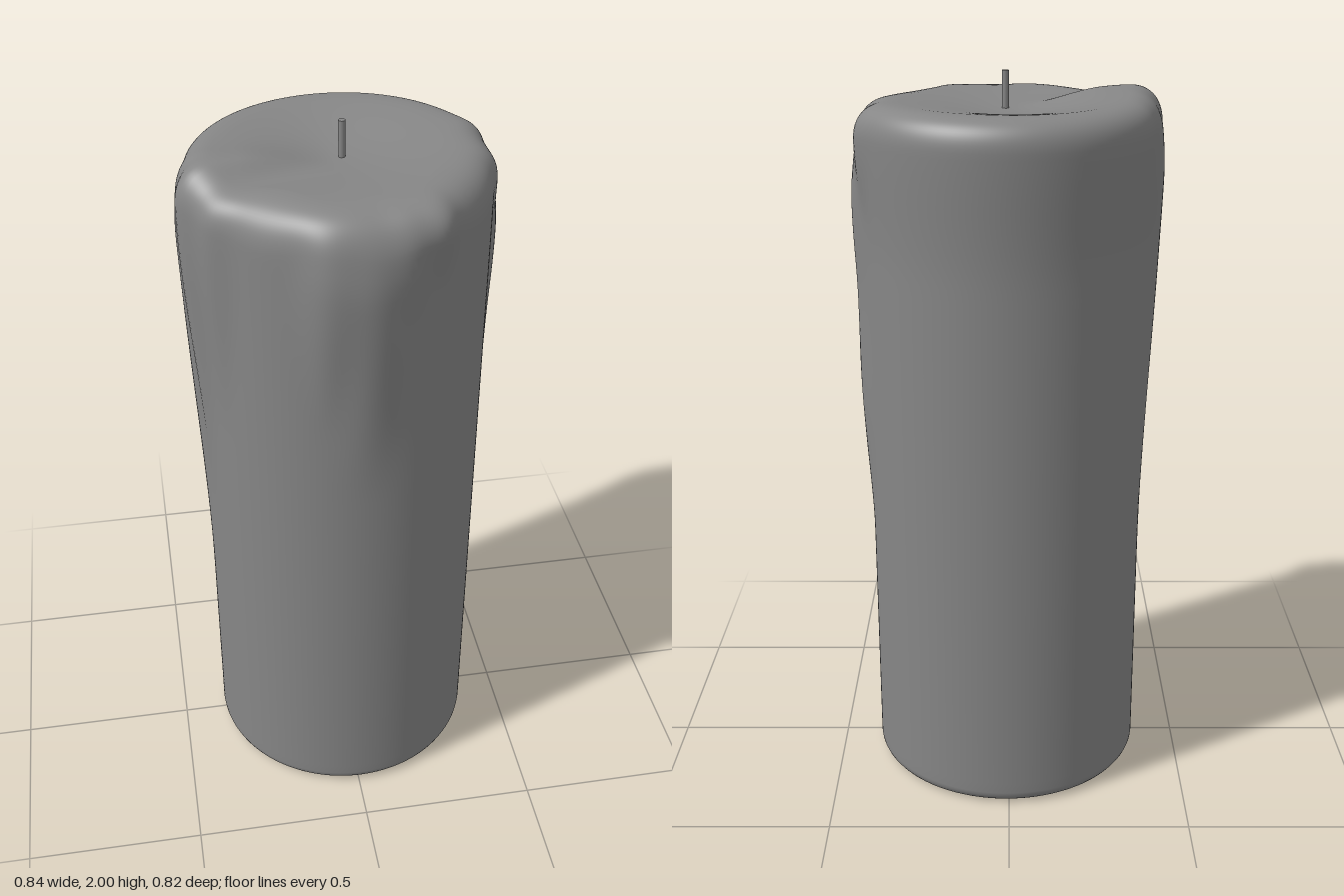
import * as THREE from 'three';

const CX = 0.008, CZ = -0.01, R = 0.383, TOP = 1.93, FOOT = 0.035;
const SEG = 192;
const rad = THREE.MathUtils.degToRad;
const smooth = THREE.MathUtils.smoothstep;
const bell = (d, w) => Math.exp(-(d * d) / (w * w));

// signed angle difference in degrees, -180..180
const diff = (a, b) => ((a - b + 540) % 360) - 180;

// wax runs: angle (0 = +x, 90 = front), width, bulge, height of the top, peak and lower end
const runs = [
  // front lip, narrowing down to one run
  { at: 105, w: 9, amp: 0.024, top: 1.99, peak: 1.75, end: 1.3 },
  { at: 89, w: 14, amp: 0.032, top: 1.97, peak: 1.72, end: 1.1 },
  { at: 73, w: 8, amp: 0.012, top: 2.0, peak: 1.83, end: 1.62 },
  { at: 61, w: 7, amp: 0.022, top: 2.02, peak: 1.88, end: 1.7 },
  // left side of the model
  { at: 7, w: 6, amp: 0.008, top: 2.0, peak: 1.86, end: 1.7 },
  { at: -4, w: 10, amp: 0.032, top: 1.97, peak: 1.66, end: 1.0 },
  { at: -7, w: 9, amp: 0.019, top: 1.5, peak: 1.12, end: 0.7 },
  { at: -18, w: 7, amp: 0.016, top: 2.05, peak: 1.84, end: 1.62 },
  // right side of the model
  { at: 167, w: 8, amp: 0.046, top: 2.15, peak: 1.86, end: 0.9 },
  { at: 180, w: 8, amp: 0.035, top: 2.1, peak: 1.72, end: 0.6 },
  { at: 153, w: 8, amp: 0.026, top: 2.1, peak: 1.8, end: 1.2 },
];

// outer radius of the wax at an angle and height
function radiusAt(deg, y) {
  let r = R;
  for (const d of runs) {
    const v = y > d.peak ? 1 - smooth(y, d.peak, d.top) : smooth(y, d.end, d.peak);
    const narrow = 0.65 + 0.35 * smooth(y, d.end, d.peak);
    r += d.amp * v * bell(diff(deg, d.at), d.w * narrow);
  }
  // soft swelling round the back of the rim
  const back = smooth(Math.cos(rad(deg + 95)), -0.05, 0.4);
  return r + 0.018 * back * smooth(y, 1.5, 1.9);
}

// melted pool height: shallow dish, hollow behind the wick, ridge running out to the side
function poolHeight(x, z) {
  const q = Math.min(1, Math.hypot(x, z) / 0.35);
  const along = smooth(-x, 0.02, 0.26);
  const off = z + 0.24 * x;
  const ridge = 0.024 * along * bell(off, off > 0 ? 0.045 : 0.11);
  const valley = 0.01 * along * bell(off - 0.09, 0.05);
  const dish = 0.011 * (1 + Math.cos(Math.PI * q));
  const hollow = 0.01 * bell(Math.hypot(x + 0.04, z + 0.13), 0.16);
  return TOP - dish - hollow + ridge - valley;
}

// rows of the profile, from the middle of the underside to the middle of the pool
const rows = [];
for (const s of [0, 0.5, 0.92]) rows.push({ kind: 'bottom', s });
for (let i = 0; i <= 6; i++) rows.push({ kind: 'foot', s: i / 6 });
for (let i = 1; i <= 60; i++) rows.push({ kind: 'side', s: i / 60 });
for (let i = 1; i <= 18; i++) rows.push({ kind: 'shoulder', s: i / 18 });
for (let i = 1; i <= 28; i++) rows.push({ kind: 'pool', s: 1 - i / 28 });

// one wax point for an angle and a row
function waxPoint(deg, { kind, s }) {
  const a = rad(deg), c = Math.cos(a), n = Math.sin(a), p = s * Math.PI / 2;
  const at = (r, y) => [CX + r * c, y, CZ + r * n];
  if (kind === 'bottom') return at(s * (R - FOOT), 0);
  if (kind === 'foot') return at(R - FOOT * (1 - Math.sin(p)), FOOT * (1 - Math.cos(p)));

  // the shoulder is broader where the rim has slumped between the runs
  const slump = bell(diff(deg, 130), 16) + bell(diff(deg, 35), 20) + 0.7 * bell(diff(deg, 84), 12);
  const wide = 0.095 + 0.025 * slump, yEdge = TOP - 0.1 - 0.035 * slump;
  if (kind === 'side') {
    const y = FOOT + (yEdge - FOOT) * s;
    return at(radiusAt(deg, y), y);
  }
  const rim = radiusAt(deg, TOP) - wide;
  if (kind === 'shoulder') {
    const up = Math.pow(Math.sin(p), 0.73);
    const out = s === 1 ? 0 : Math.pow(Math.cos(p), 0.73);
    const lip = poolHeight(rim * c, rim * n);
    return at(radiusAt(deg, yEdge + (TOP - yEdge) * up) - wide * (1 - out), yEdge + (lip - yEdge) * up);
  }
  return at(rim * s, poolHeight(rim * s * c, rim * s * n));
}

// closed skin over all rows; the first and last row are single points
function waxGeometry() {
  const pos = [], idx = [];
  for (const row of rows)
    for (let j = 0; j < SEG; j++) pos.push(...waxPoint((j / SEG) * 360, row));
  for (let i = 0; i < rows.length - 1; i++)
    for (let j = 0; j < SEG; j++) {
      const a = i * SEG + j, b = i * SEG + ((j + 1) % SEG);
      const c = a + SEG, d = b + SEG;
      if (i > 0) idx.push(a, d, b);
      if (i < rows.length - 2) idx.push(a, c, d);
    }
  const g = new THREE.BufferGeometry();
  g.setAttribute('position', new THREE.Float32BufferAttribute(pos, 3));
  g.setIndex(idx);
  g.computeVertexNormals();
  return g;
}

export function createModel() {
  const model = new THREE.Group();
  model.name = 'candle';
  const material = new THREE.MeshStandardMaterial({ color: 0x868686 });

  // wax body
  const wax = new THREE.Mesh(waxGeometry(), material);
  wax.name = 'waxBody';
  model.add(wax);

  // wick
  const wick = new THREE.Mesh(new THREE.CylinderGeometry(0.009, 0.009, 0.14, 16), material);
  wick.name = 'wick';
  wick.position.set(0.01, 1.93, -0.013);
  model.add(wick);
  return model;
}
